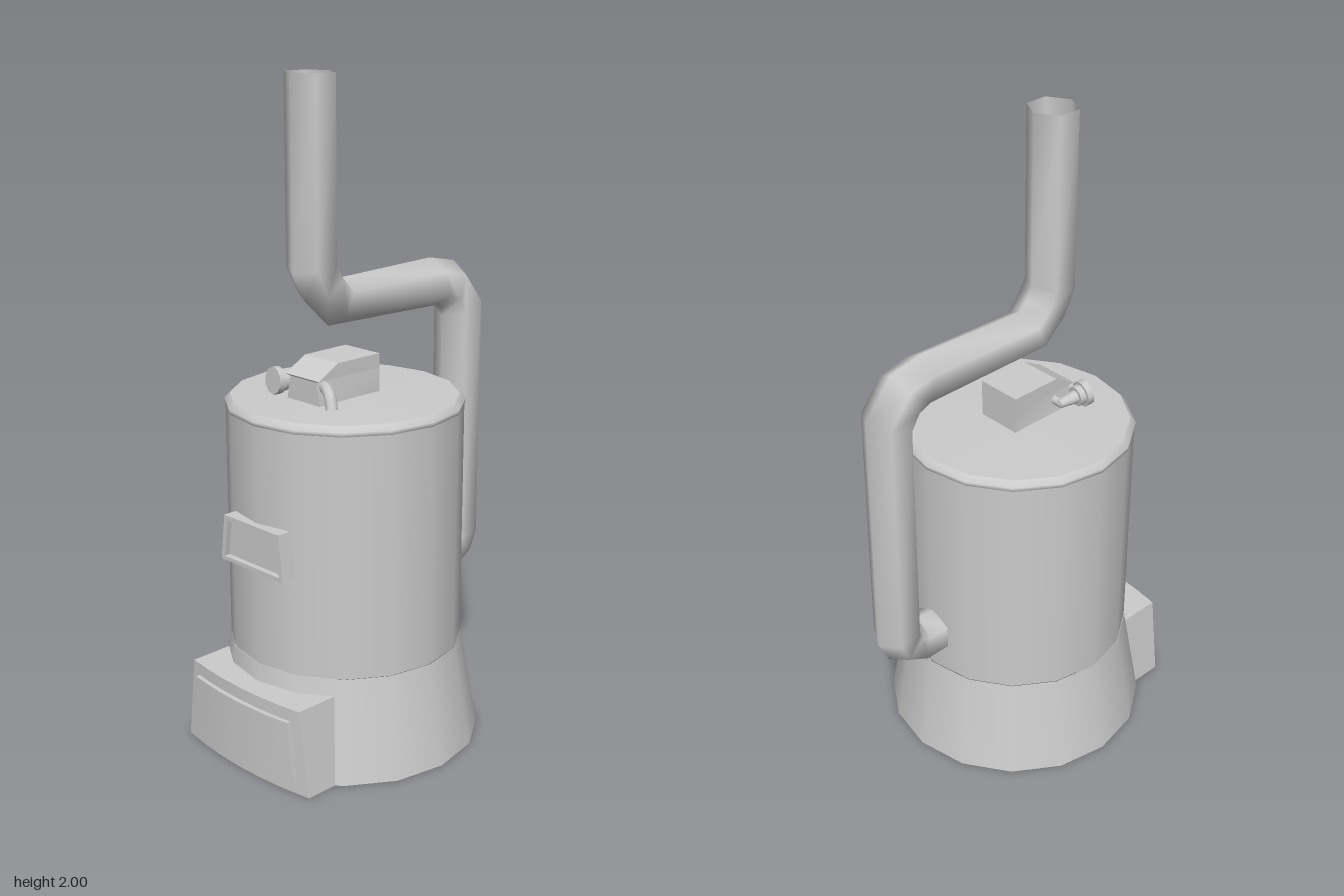
import * as THREE from 'three';
import { toCreasedNormals } from 'three/addons/utils/BufferGeometryUtils.js';

const grey = new THREE.MeshStandardMaterial({ color: 0xcccccc });
const greyDouble = new THREE.MeshStandardMaterial({ color: 0xcccccc, side: THREE.DoubleSide });
const CENTRE_Z = 0.06;
const SIDES = 16;

function add(parent, name, geometry, material = grey) {
  const mesh = new THREE.Mesh(geometry, material);
  mesh.name = name;
  parent.add(mesh);
  return mesh;
}

// Skin a list of rings (each counter-clockwise around the loft direction)
function loft(rings, capped = true) {
  const n = rings[0].length;
  const index = [];
  for (let r = 0; r < rings.length - 1; r++) {
    for (let i = 0; i < n; i++) {
      const j = (i + 1) % n;
      const a = r * n + i, b = r * n + j, c = b + n, d = a + n;
      index.push(a, b, c, a, c, d);
    }
  }
  if (capped) {
    const top = (rings.length - 1) * n;
    for (let i = 1; i < n - 1; i++) index.push(0, i + 1, i, top, top + i, top + i + 1);
  }
  const geometry = new THREE.BufferGeometry();
  geometry.setAttribute('position', new THREE.Float32BufferAttribute(rings.flat(2), 3));
  geometry.setIndex(index);
  geometry.computeVertexNormals();
  return geometry;
}

function lathe(points) {
  const g = new THREE.LatheGeometry(points.map(([r, y]) => new THREE.Vector2(r, y)), SIDES);
  return g.translate(0, 0, CENTRE_Z);
}

// Plan of a block with a bowed front
function bowedRing(y, half, back, front, bow) {
  const ring = [[-half, y, back]];
  for (let i = 0; i <= 6; i++) {
    const t = i / 3 - 1;
    ring.push([half * t, y, front - bow * t * t]);
  }
  ring.push([half, y, back]);
  return ring;
}

function trapezoid(PathType, top, bottom, y0, y1) {
  const path = new PathType();
  path.moveTo(-bottom, y0);
  path.lineTo(bottom, y0);
  path.lineTo(top, y1);
  path.lineTo(-top, y1);
  path.closePath();
  return path;
}

export function createModel() {
  const model = new THREE.Group();
  model.name = 'stove';

  // Flared base, drum and lid
  add(model, 'baseSkirt', lathe([[0.41, 0], [0.355, 0.31]]));
  add(model, 'baseBottom', lathe([[0, 0], [0.41, 0]]));
  add(model, 'drum', lathe([[0.353, 0.31], [0.353, 1.045]]));
  add(model, 'lidRim', lathe([[0.35, 1.04], [0.356, 1.04], [0.356, 1.052], [0.34, 1.068]]));
  add(model, 'lidTop', lathe([[0.34, 1.068], [0, 1.074]]));

  // Ash box with a bowed front and raised door
  const ashBox = new THREE.Group();
  ashBox.name = 'ashBox';
  model.add(ashBox);
  add(ashBox, 'ashBoxBody', toCreasedNormals(loft([
    bowedRing(0, 0.27, 0.25, 0.492, 0.026),
    bowedRing(0.26, 0.235, 0.25, 0.49, 0.02),
  ]), 0.5));
  add(ashBox, 'ashDoor', toCreasedNormals(loft([
    bowedRing(0.04, 0.228, 0.44, 0.505, 0.019),
    bowedRing(0.222, 0.205, 0.44, 0.505, 0.017),
  ]), 0.5));

  // Window frame and pane
  const frame = trapezoid(THREE.Shape, 0.117, 0.134, 0.61, 0.75);
  frame.holes.push(trapezoid(THREE.Path, 0.104, 0.119, 0.622, 0.737));
  const frameGeo = new THREE.ExtrudeGeometry(frame, { depth: 0.05, bevelEnabled: false });
  add(model, 'windowFrame', frameGeo.translate(0, 0, 0.384));
  const pane = new THREE.ShapeGeometry(trapezoid(THREE.Shape, 0.106, 0.121, 0.62, 0.738));
  add(model, 'windowPane', pane.translate(0, 0, 0.416));

  // Flue pipe: each ring gives two opposite corners [z, y, z, y]
  const bends = [
    [0.262, 2, 0.117, 2], [0.262, 1.45, 0.117, 1.48],
    [0.217, 1.365, 0.093, 1.44], [0.127, 1.28, 0.07, 1.415],
    [-0.335, 1.27, -0.3, 1.423], [-0.352, 1.255, -0.41, 1.4],
    [-0.36, 1.23, -0.503, 1.288], [-0.36, 0.535, -0.503, 0.5],
    [-0.357, 0.523, -0.466, 0.423], [-0.35, 0.52, -0.376, 0.376],
    [-0.288, 0.52, -0.288, 0.376],
  ];
  const pipeRings = bends.map(([z0, y0, z1, y1]) => {
    const ring = [];
    for (let i = 0; i < 6; i++) {
      const a = (i / 6) * Math.PI * 2, c = Math.cos(a) / 2;
      ring.push([-0.076 * Math.sin(a), (y0 + y1) / 2 + (y0 - y1) * c, (z0 + z1) / 2 + (z0 - z1) * c]);
    }
    return ring;
  });
  add(model, 'fluePipe', loft(pipeRings, false), greyDouble);

  // Valve housing on the lid, with sloped hood and pinched front
  const housing = [
    [1.065, 0.072, 0.07, 0.225], [1.14, 0.072, 0.054, 0.225],
    [1.145, 0.072, 0.07, 0.23], [1.187, 0.072, 0.07, 0.155],
  ].map(([y, back, front, z]) => [[-back, y, -0.012], [-front, y, z], [front, y, z], [back, y, -0.012]]);
  add(model, 'valveHousing', toCreasedNormals(loft(housing), 0.3));

  // Hand knob on the right
  const knob = new THREE.Group();
  knob.name = 'knob';
  knob.position.set(-0.088, 1.11, 0.15);
  knob.quaternion.setFromUnitVectors(
    new THREE.Vector3(0, 1, 0), new THREE.Vector3(-0.16, 0.1, 1).normalize());
  model.add(knob);
  for (const [name, top, bottom, from, to] of [
    ['knobStem', 0.022, 0.013, 0, 0.065],
    ['knobCollar', 0.032, 0.032, 0.06, 0.08],
    ['knobDisc', 0.041, 0.041, 0.08, 0.102],
  ]) {
    const g = new THREE.CylinderGeometry(top, bottom, to - from, 10);
    add(knob, name, g.translate(0, (from + to) / 2, 0));
  }
  const link = new THREE.CylinderGeometry(0.014, 0.014, 0.05, 8).rotateZ(Math.PI / 2);
  add(model, 'knobLink', link.translate(-0.07, 1.11, 0.16));

  // Drain spout on the left
  const spoutPath = new THREE.CatmullRomCurve3([
    new THREE.Vector3(0.04, 1.122, 0.19), new THREE.Vector3(0.08, 1.122, 0.208),
    new THREE.Vector3(0.112, 1.105, 0.225), new THREE.Vector3(0.126, 1.076, 0.233),
  ]);
  add(model, 'spout', new THREE.TubeGeometry(spoutPath, 6, 0.018, 8), greyDouble);

  return model;
}
